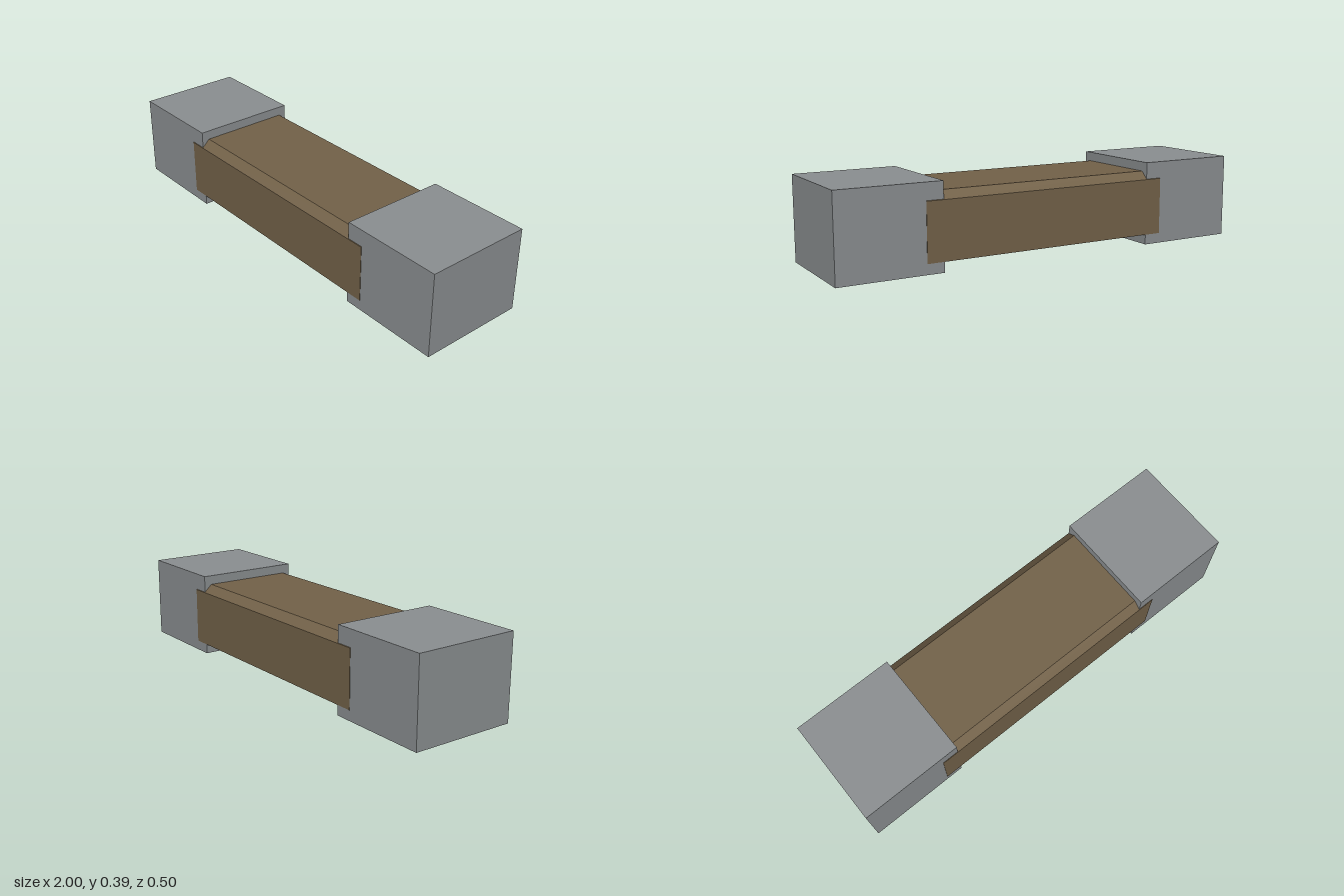
import * as THREE from 'three';

export function createModel() {
  const model = new THREE.Group();
  const grey = new THREE.MeshStandardMaterial({ color: 0x8b8f91 });
  grey.name = 'grey metal';
  const brown = new THREE.MeshStandardMaterial({ color: 0x736249 });
  brown.name = 'brown';

  // Square blocks at both ends
  for (const side of [-1, 1]) {
    const block = new THREE.Mesh(new THREE.BoxGeometry(0.476, 0.388, 0.496), grey);
    block.name = side > 0 ? 'leftEndBlock' : 'rightEndBlock';
    block.position.set(side * 0.762, 0.194, 0);
    model.add(block);
  }

  // Middle beam with bevelled upper edges, slightly proud of the blocks
  const profile = new THREE.Shape([
    [-0.25, 0.047], [0.25, 0.047], [0.25, 0.309],
    [0.212, 0.345], [-0.212, 0.345], [-0.25, 0.309],
  ].map(([z, y]) => new THREE.Vector2(z, y)));
  const length = 1.206;
  const geometry = new THREE.ExtrudeGeometry(profile, { depth: length, bevelEnabled: false });
  geometry.translate(0, 0, -length / 2).rotateY(Math.PI / 2);
  const beam = new THREE.Mesh(geometry, brown);
  beam.name = 'beam';
  model.add(beam);

  return model;
}
